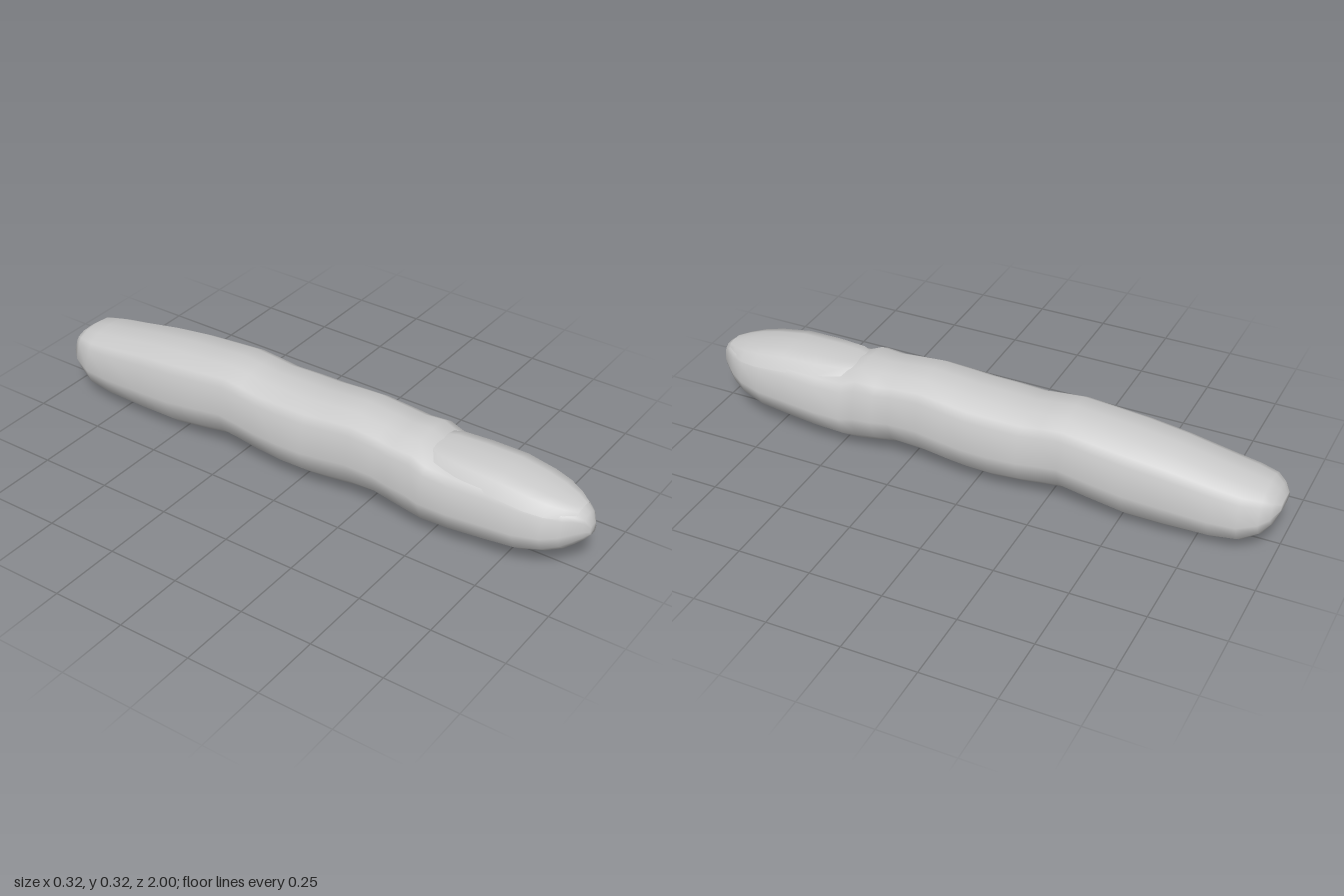
import * as THREE from 'three';

const grey = new THREE.MeshStandardMaterial({ color: 0xcccccc, side: THREE.DoubleSide });

// Half cross-section from belly to crown: [share of half width, share of height]
const half = [[0, 0], [0.5, 0.04], [0.85, 0.2], [1, 0.45], [0.86, 0.78], [0.75, 0.875], [0.45, 0.975], [0, 1]];
const ring = [...half, ...half.slice(1, -1).reverse().map(([x, t]) => [-x, t])];

// Finger stations from tip to root: [z, bottom, top, half width]
const stations = [
  [1, 0.15, 0.185, 0.02], [0.985, 0.13, 0.22, 0.042], [0.96, 0.108, 0.235, 0.065],
  [0.93, 0.085, 0.243, 0.09], [0.88, 0.062, 0.253, 0.118], [0.8, 0.038, 0.266, 0.138],
  [0.7, 0.028, 0.277, 0.149], [0.58, 0.018, 0.277, 0.157], [0.48, 0.012, 0.284, 0.158],
  [0.43, 0.015, 0.308, 0.156], [0.36, 0.027, 0.303, 0.151], [0.3, 0.037, 0.31, 0.147],
  [0.2, 0.03, 0.32, 0.146], [0.1, 0.019, 0.312, 0.153], [0.03, 0.014, 0.305, 0.157],
  [-0.06, 0.012, 0.304, 0.157], [-0.16, 0.02, 0.301, 0.153], [-0.23, 0.029, 0.31, 0.15],
  [-0.3, 0.037, 0.317, 0.149], [-0.4, 0.02, 0.308, 0.153], [-0.52, 0.002, 0.297, 0.156],
  [-0.65, 0, 0.28, 0.151], [-0.8, 0.004, 0.252, 0.143], [-0.89, 0.02, 0.236, 0.136],
  [-0.95, 0.058, 0.224, 0.115], [-0.98, 0.098, 0.203, 0.088], [-1, 0.15, 0.178, 0.05],
];

// Nail rows from root to free edge: [z, crown, edge height, half width]
const nailRows = [
  [0.445, 0.285, 0.27, 0.06], [0.5, 0.289, 0.262, 0.098], [0.6, 0.291, 0.243, 0.115],
  [0.72, 0.29, 0.234, 0.12], [0.82, 0.274, 0.223, 0.114], [0.88, 0.262, 0.217, 0.1],
  [0.93, 0.249, 0.213, 0.073], [0.965, 0.236, 0.217, 0.042],
];
const nailHalf = [[1, 0], [0.78, 0.75], [0.42, 0.96]];
const nailProfile = [...nailHalf, [0, 1], ...nailHalf.map(([x, t]) => [-x, t]).reverse()];

function build(name, points, index) {
  const geometry = new THREE.BufferGeometry();
  geometry.setAttribute('position', new THREE.Float32BufferAttribute(points.flat(), 3));
  geometry.setIndex(index);
  geometry.computeVertexNormals();
  const mesh = new THREE.Mesh(geometry, grey);
  mesh.name = name;
  return mesh;
}

// Skin: closed rings joined along z, with a fan at each end
function makeFinger() {
  const n = ring.length, last = stations.length - 1;
  const points = [], index = [];
  for (const [z, bottom, top, w] of stations)
    for (const [x, t] of ring) points.push([x * w, bottom + (top - bottom) * t, z]);
  const tip = points.length, root = tip + 1;
  points.push([0, 0.165, 1], [0, 0.165, -1]);
  for (let j = 0; j < n; j++) {
    const k = (j + 1) % n;
    for (let i = 0; i < last; i++) {
      const a = i * n + j, b = i * n + k;
      index.push(a, a + n, b, b, a + n, b + n);
    }
    index.push(tip, j, k, root, last * n + k, last * n + j);
  }
  return build('finger', points, index);
}

// Nail: an arched plate whose rim sinks into the skin
function makeNail() {
  const n = nailProfile.length;
  const points = [], index = [];
  for (const [z, crown, edge, w] of nailRows)
    for (const [x, t] of nailProfile) points.push([x * w, edge + (crown - edge) * t, z]);
  for (let i = 0; i < nailRows.length - 1; i++)
    for (let j = 0; j < n - 1; j++) {
      const a = i * n + j;
      index.push(a, a + 1, a + n, a + 1, a + n + 1, a + n);
    }
  return build('nail', points, index);
}

export function createModel() {
  const group = new THREE.Group();
  group.name = 'fingerModel';
  group.add(makeFinger(), makeNail());
  return group;
}
